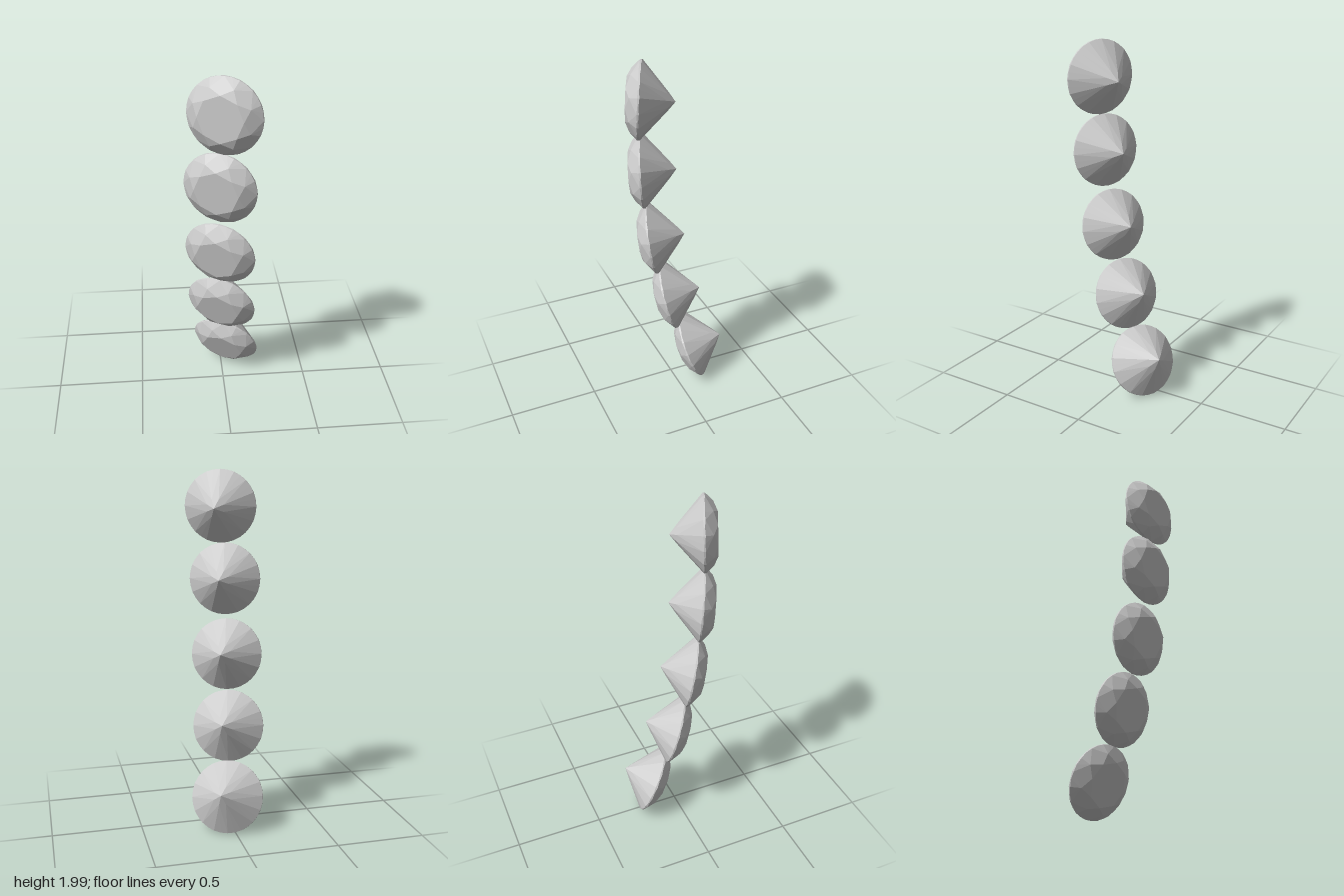
import * as THREE from 'three';

// Brilliant-cut stone: point at the origin, table facing +z
const R = 0.203, TABLE = 0.123, DEPTH = 0.18, CROWN = 0.068;

function gemGeometry() {
  const pos = [];
  const inside = new THREE.Vector3(0, 0, DEPTH);
  // point at radius r, angle step k (32 per turn), height h above the girdle plane
  const pt = (r, k, h) => {
    const a = (k * Math.PI) / 16;
    return new THREE.Vector3(r * Math.cos(a), r * Math.sin(a), DEPTH + h);
  };
  // triangle, always wound to face outwards
  const tri = (a, b, c) => {
    const n = b.clone().sub(a).cross(c.clone().sub(a));
    const out = a.clone().add(b).add(c).divideScalar(3).sub(inside);
    for (const p of n.dot(out) > 0 ? [a, b, c] : [a, c, b]) pos.push(p.x, p.y, p.z);
  };
  const quad = (a, b, c, d) => { tri(a, b, c); tri(a, c, d); };

  // scalloped girdle edge: thick at facet corners, thin between them
  const rim = (k, side) => pt(R, k, side * (k % 2 === 0 ? 0.006 : 0.003));
  const cos = Math.cos(Math.PI / 8);
  const upR = 0.163, upH = 0.006 + (CROWN - 0.006) * (R - upR * cos) / (R - TABLE);
  const lowR = 0.05, lowH = -DEPTH + (DEPTH - 0.006) * lowR * cos / R;
  const top = pt(0, 0, CROWN), culet = pt(0, 0, -DEPTH);

  for (let i = 0; i < 8; i++) {
    const k = i * 4;
    const t0 = pt(TABLE, k, CROWN), t1 = pt(TABLE, k + 4, CROWN);
    const u0 = pt(upR, k - 2, upH), u1 = pt(upR, k + 2, upH);
    const l0 = pt(lowR, k - 2, lowH), l1 = pt(lowR, k + 2, lowH);
    tri(top, t0, t1);                       // table
    tri(t0, t1, u1);                        // star facet
    quad(t0, u0, rim(k, 1), u1);            // crown kite
    quad(culet, l0, rim(k, -1), l1);        // pavilion main
    for (let j = k; j < k + 4; j++) {       // half facets and girdle
      tri(u1, rim(j, 1), rim(j + 1, 1));
      tri(l1, rim(j, -1), rim(j + 1, -1));
      quad(rim(j, -1), rim(j + 1, -1), rim(j + 1, 1), rim(j, 1));
    }
  }
  const g = new THREE.BufferGeometry();
  g.setAttribute('position', new THREE.Float32BufferAttribute(pos, 3));
  g.computeVertexNormals();
  return g;
}

export function createModel() {
  const group = new THREE.Group();
  group.name = 'gemColumn';
  const geometry = gemGeometry();
  const material = new THREE.MeshStandardMaterial({ color: 0xcccccc, flatShading: true });

  // rear point and facing direction of each stone, top to bottom
  const stones = [
    [[0.069, 1.79, 0.003], [-0.42, 0.04, 0.9]],
    [[0.047, 1.404, -0.013], [-0.42, -0.06, 0.905]],
    [[0.05, 0.998, -0.062], [-0.42, -0.17, 0.89]],
    [[0.063, 0.62, -0.154], [-0.41, -0.28, 0.87]],
    [[0.101, 0.265, -0.28], [-0.41, -0.4, 0.825]],
  ];
  const forward = new THREE.Vector3(0, 0, 1);
  stones.forEach(([tip, dir], i) => {
    const gem = new THREE.Mesh(geometry, material);
    gem.name = `gem${i + 1}`;
    gem.position.set(...tip);
    gem.quaternion.setFromUnitVectors(forward, new THREE.Vector3(...dir).normalize());
    group.add(gem);
  });
  return group;
}
